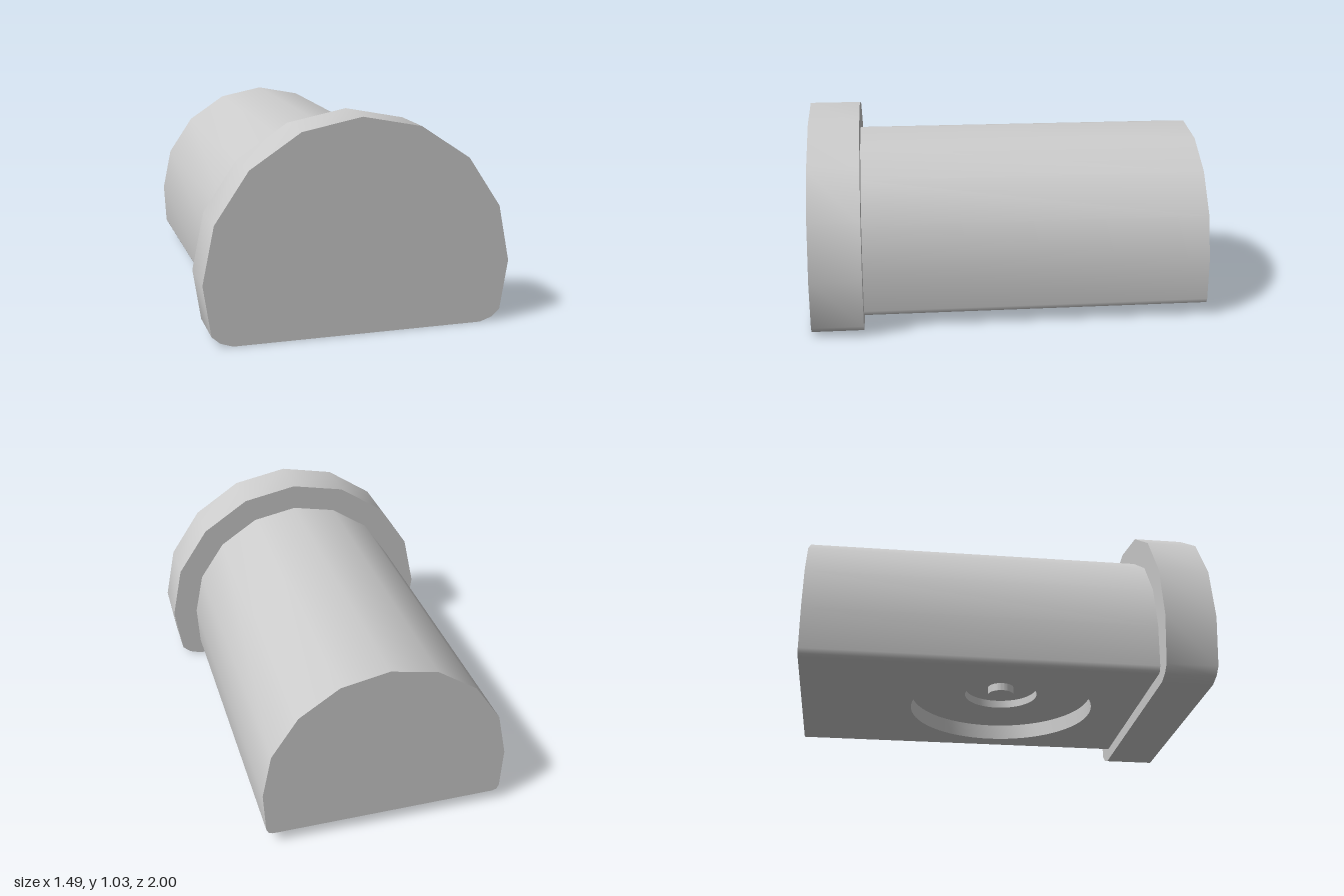
import * as THREE from 'three';
import { toCreasedNormals } from 'three/addons/utils/BufferGeometryUtils.js';

const material = new THREE.MeshStandardMaterial({ color: 0xcccccc });

// Mirrored arch outline, counter-clockwise from the lower +x corner
function archProfile(rx, ry, corner) {
  const half = [...corner, [rx, 0.3]];
  for (let i = 1; i < 4; i++) {
    const a = (i * Math.PI) / 8;
    half.push([rx * Math.cos(a), 0.29 + ry * Math.sin(a)]);
  }
  const mirrored = half.map(([x, y]) => [-x, y]).reverse();
  return [...half, [0, 0.29 + ry], ...mirrored].map(([x, y]) => new THREE.Vector2(x, y));
}

// Smooth wall between two z planes; openBottom drops the flat underside
function wallGeometry(profile, z0, z1, openBottom) {
  const positions = [], index = [];
  const n = profile.length;
  profile.forEach((p, i) => {
    positions.push(p.x, p.y, z0, p.x, p.y, z1);
    const a = 2 * i, b = 2 * ((i + 1) % n);
    index.push(a, b, b + 1, a, b + 1, a + 1);
  });
  const geometry = new THREE.BufferGeometry();
  geometry.setAttribute('position', new THREE.Float32BufferAttribute(positions, 3));
  geometry.setIndex(index);
  geometry.computeVertexNormals();
  if (openBottom) geometry.setIndex(index.slice(0, -6));
  return geometry;
}

function add(parent, name, geometry) {
  const mesh = new THREE.Mesh(geometry, material);
  mesh.name = name;
  parent.add(mesh);
  return mesh;
}

function addPrism(parent, name, profile, z0, z1, openBottom) {
  const group = new THREE.Group();
  group.name = name;
  parent.add(group);
  add(group, name + 'Wall', wallGeometry(profile, z0, z1, openBottom));
  const cap = new THREE.ShapeGeometry(new THREE.Shape(profile));
  add(group, name + 'FrontCap', cap).position.z = z1;
  add(group, name + 'BackCap', cap.clone().rotateY(Math.PI)).position.z = z0;
  return group;
}

export function createModel() {
  const model = new THREE.Group();
  model.name = 'archedPlug';
  const step = 0.745, base = 0.06, flat = 0.57, holeRadius = 0.474, holeZ = 0.04;

  // Wide front flange
  const flangeProfile = archProfile(0.747, 0.743, [[0.61, 0], [0.67, 0.02], [0.71, 0.055]]);
  addPrism(model, 'flange', flangeProfile, step, 1, false);

  // Long arched body
  const bodyProfile = archProfile(0.613, 0.606, [[flat, base], [0.59, 0.067], [0.602, 0.09]]);
  const body = addPrism(model, 'body', bodyProfile, -1, step, true);

  // Underside panel with a round opening
  const panel = new THREE.Shape([[-flat, -1], [flat, -1], [flat, step], [-flat, step]]
    .map(([x, z]) => new THREE.Vector2(x, z)));
  panel.holes.push(new THREE.Path().absarc(0, holeZ, holeRadius, 0, Math.PI * 2, true));
  const underside = new THREE.ShapeGeometry(panel, 32).rotateX(Math.PI / 2);
  add(body, 'underside', underside).position.y = base;

  // Stepped round recess with a small central post
  const steps = [[0, 0.14], [0.068, 0.14], [0.068, 0.18], [0.19, 0.18],
    [0.19, 0.14], [holeRadius, 0.14], [holeRadius, base]];
  const recess = new THREE.LatheGeometry(steps.map(([r, y]) => new THREE.Vector2(r, y)), 64);
  add(body, 'undersideRecess', toCreasedNormals(recess, 0.6)).position.z = holeZ;

  return model;
}
